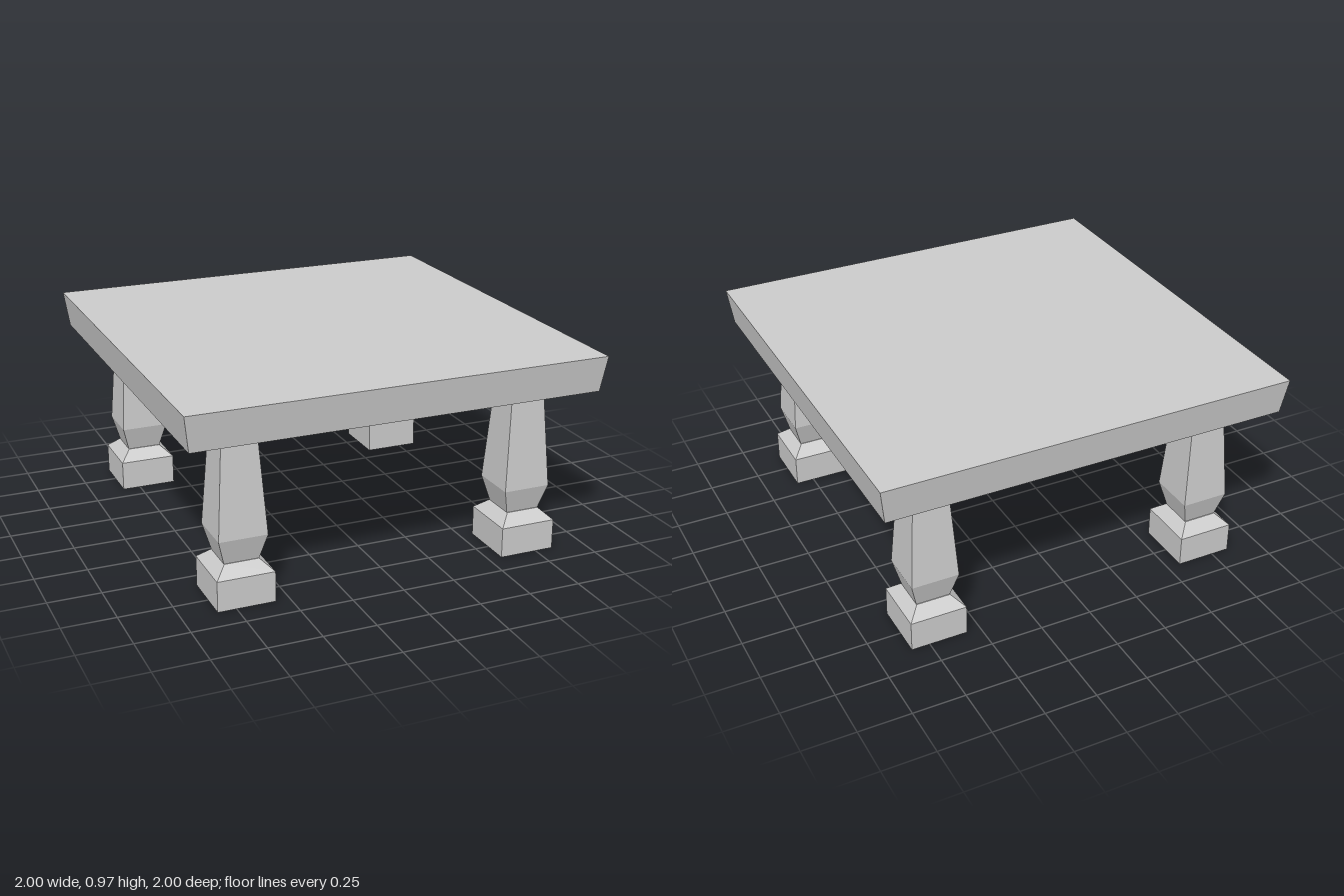
import * as THREE from 'three';

const material = new THREE.MeshStandardMaterial({ color: 0xcccccc, flatShading: true });

// Square turned solid: profile is a list of [half width, height] from bottom to top
function squareSolid(name, profile) {
  const points = profile.map(([half, y]) => new THREE.Vector2(half * Math.SQRT2, y));
  const geometry = new THREE.LatheGeometry(points, 4, Math.PI / 4).toNonIndexed();
  geometry.computeVertexNormals();
  const mesh = new THREE.Mesh(geometry, material);
  mesh.name = name;
  return mesh;
}

function createLeg() {
  const leg = new THREE.Group();
  // Square foot with a chamfered top
  const foot = squareSolid('foot', [[0, 0], [0.137, 0], [0.137, 0.145], [0.082, 0.195], [0, 0.195]]);
  foot.scale.set(0.99, 1, 1.04);
  // Post that swells above the neck and tapers to the tabletop
  const post = squareSolid('post', [[0, 0.195], [0.082, 0.195], [0.114, 0.315], [0.081, 0.8], [0, 0.8]]);
  leg.add(foot, post);
  return leg;
}

export function createModel() {
  const table = new THREE.Group();
  table.name = 'table';

  // Tabletop with slightly flared sides
  table.add(squareSolid('tabletop', [[0, 0.8], [0.977, 0.8], [1, 0.97], [0, 0.97]]));

  // Four legs
  for (const [side, x] of [['Left', 0.702], ['Right', -0.702]]) {
    for (const [end, z] of [['front', 0.735], ['back', -0.735]]) {
      const leg = createLeg();
      leg.name = `${end}${side}Leg`;
      leg.position.set(x, 0, z);
      table.add(leg);
    }
  }
  return table;
}
